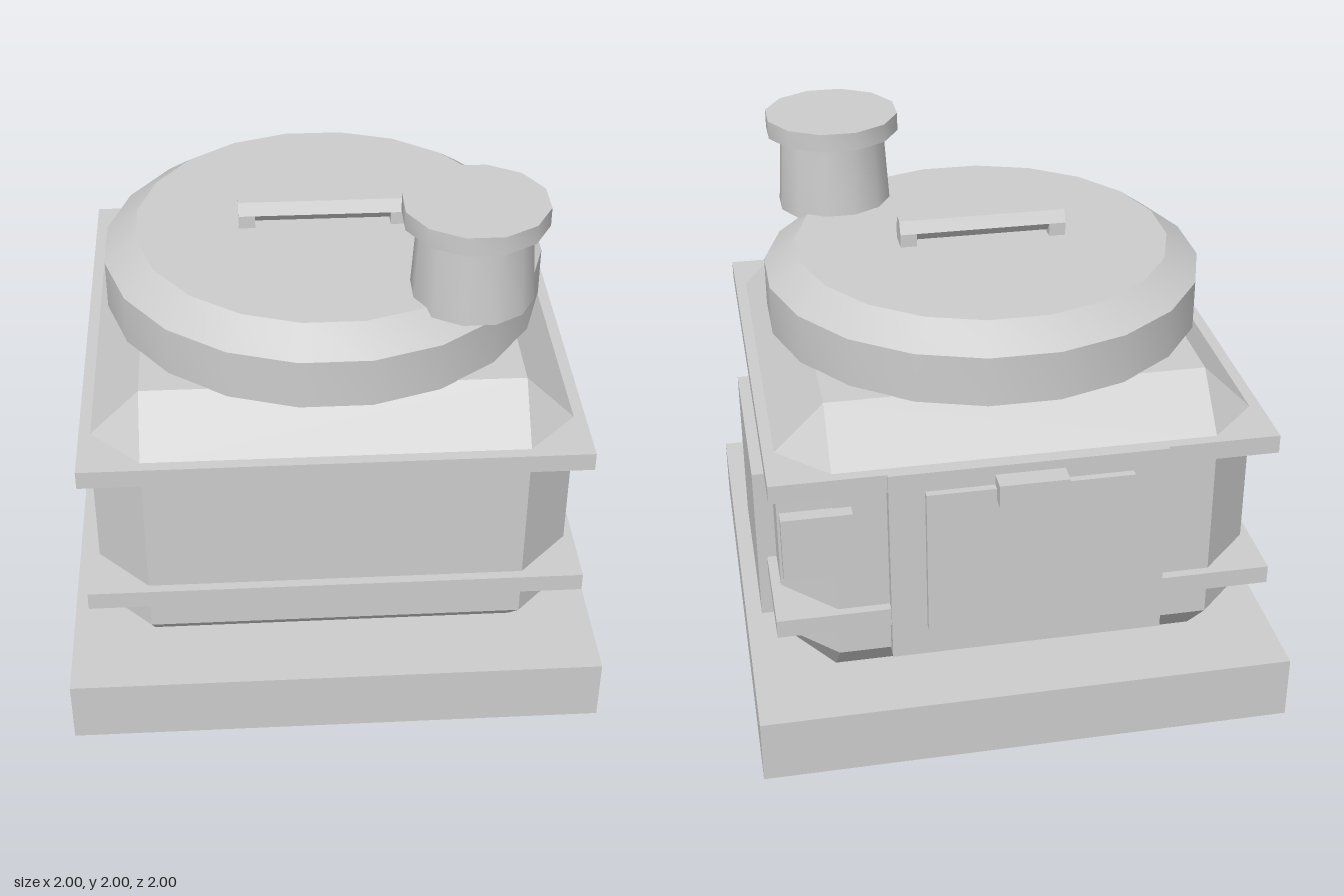
import * as THREE from 'three';
import { toCreasedNormals } from 'three/addons/utils/BufferGeometryUtils.js';
import { ConvexGeometry } from 'three/addons/geometries/ConvexGeometry.js';

export function createModel() {
  const model = new THREE.Group();
  model.name = 'furnace';
  const grey = new THREE.MeshStandardMaterial({ color: 0xcccccc });
  grey.name = 'light grey';

  function add(name, geometry, parent = model) {
    const mesh = new THREE.Mesh(geometry, grey);
    mesh.name = name;
    parent.add(mesh);
    return mesh;
  }

  // Box given by its lower and upper limits on each axis
  function box(name, [x0, x1], [y0, y1], [z0, z1], parent) {
    const mesh = add(name, new THREE.BoxGeometry(x1 - x0, y1 - y0, z1 - z0), parent);
    mesh.position.set((x0 + x1) / 2, (y0 + y1) / 2, (z0 + z1) / 2);
    return mesh;
  }

  // Faceted solid of revolution with flats facing the axes
  function turned(name, profile, sides) {
    const points = profile.map(([r, y]) => new THREE.Vector2(r, y));
    const lathe = new THREE.LatheGeometry(points, sides, Math.PI / sides);
    return add(name, toCreasedNormals(lathe, 0.55));
  }

  // Plinth
  box('base', [-1, 1], [0, 0.25], [-1, 1]);

  // Body: box with all edges chamfered
  const outer = 0.875, inner = 0.688;
  const corners = [];
  for (const sx of [-1, 1]) for (const sz of [-1, 1]) {
    for (const y of [0.25, 1.38]) corners.push(new THREE.Vector3(sx * inner, y, sz * inner));
    for (const y of [0.44, 1.193]) {
      corners.push(new THREE.Vector3(sx * outer, y, sz * inner));
      corners.push(new THREE.Vector3(sx * inner, y, sz * outer));
    }
  }
  add('body', new ConvexGeometry(corners));

  // Bands round the body
  box('lowerBand', [-0.91, 0.91], [0.565, 0.635], [-0.91, 0.91]);
  box('upperBand', [-0.91, 0.91], [1.13, 1.2], [-0.91, 0.91]);

  // Round lid with a bevelled rim
  turned('lid', [[0, 1.378], [0.825, 1.378], [0.825, 1.565], [0.705, 1.65], [0, 1.65]], 20);

  // Lid handle: faceted bar on two end posts
  const handle = new THREE.Group();
  handle.name = 'lidHandle';
  model.add(handle);
  const bar = [];
  for (const x of [-0.315, 0.315]) {
    for (const [z, y] of [[0.05, 1.7], [0.025, 1.745], [0.02, 1.665]]) {
      bar.push(new THREE.Vector3(x, y, z), new THREE.Vector3(x, y, -z));
    }
  }
  add('handleBar', new ConvexGeometry(bar), handle);
  for (const s of [-1, 1]) {
    const ends = [s * 0.315, s * 0.253].sort((a, b) => a - b);
    box('handlePost', ends, [1.645, 1.7], [-0.05, 0.05], handle);
  }

  // Chimney
  const stack = turned('chimneyStack', [[0, 1.628], [0.222, 1.628], [0.203, 1.93], [0, 1.93]], 12);
  const cap = turned('chimneyCap', [[0, 1.93], [0.259, 1.93], [0.259, 2], [0, 2]], 12);
  for (const part of [stack, cap]) part.position.set(0.5, 0, 0.5);

  // Side panel on the left
  box('sidePanel', [0.86, 0.945], [0.38, 1], [-0.5, 0.25]);

  // Rear door with frame, handle and a small box beside it
  box('doorFrame', [-0.5, 0.5], [0.43, 1.2], [-0.922, -0.86]);
  box('door', [-0.372, 0.372], [0.557, 1.125], [-0.95, -0.9]);
  box('doorHandle', [-0.125, 0.125], [1.08, 1.165], [-1, -0.91]);
  box('controlBox', [0.625, 0.875], [0.818, 1.065], [-0.925, -0.872]);

  return model;
}
